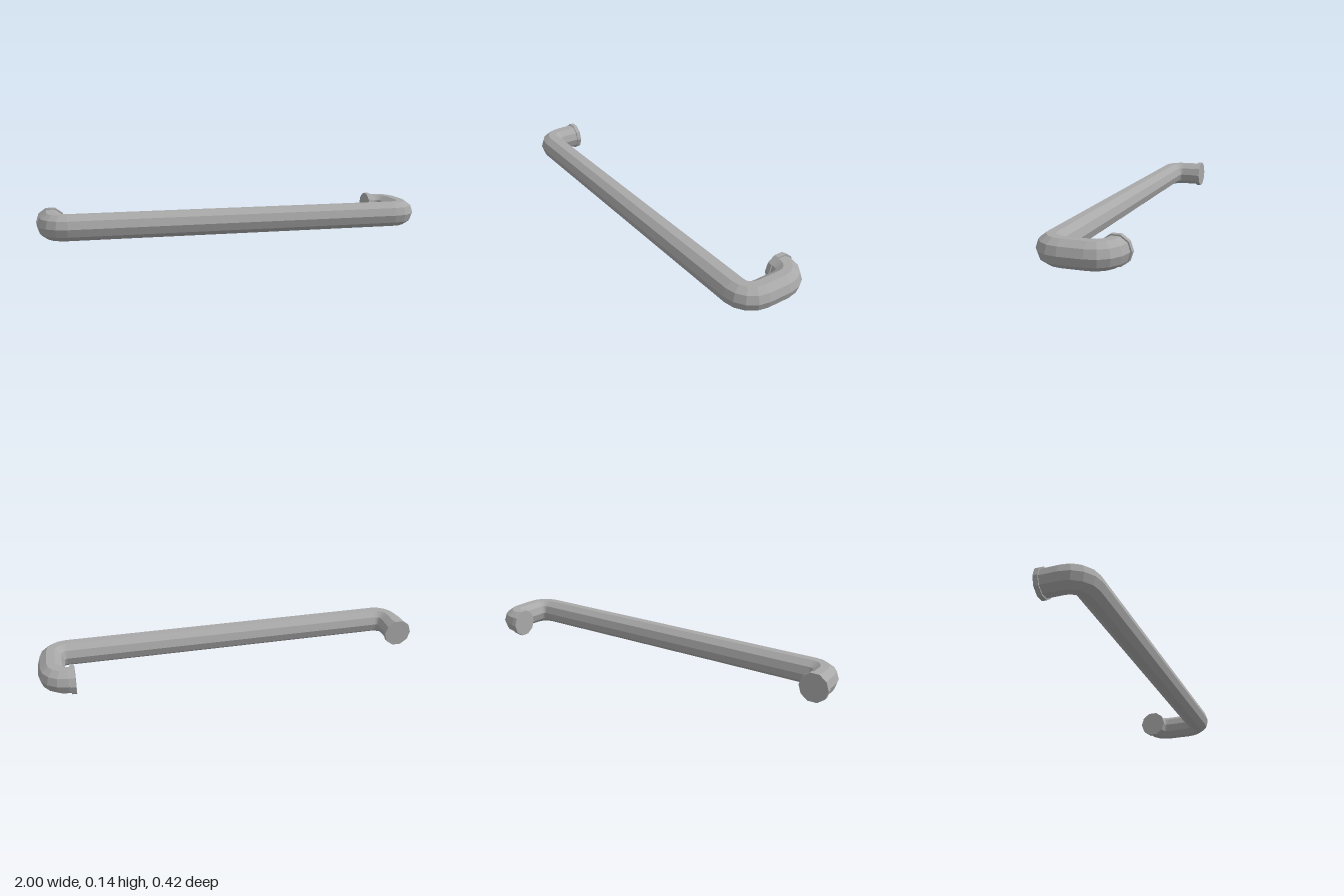
import * as THREE from 'three';

const SIDES = 10, Y = 0.07, TUBE_R = 0.0665, COLLAR_R = 0.0736, BEND_R = 0.08;

// Capped, faceted sweep along stations [x, z, tangentX, tangentZ] lying in a level plane
function sweep(stations, radius) {
  const pos = [], index = [];
  for (const [x, z, tx, tz] of stations) {
    for (let k = 0; k < SIDES; k++) {
      const a = (k / SIDES) * Math.PI * 2;
      const c = Math.cos(a) * radius;
      pos.push(x - tz * c, Y + Math.sin(a) * radius, z + tx * c);
    }
  }
  const last = (stations.length - 1) * SIDES;
  for (let i = 0; i < last; i += SIDES) {
    for (let k = 0; k < SIDES; k++) {
      const n = (k + 1) % SIDES;
      index.push(i + k, i + SIDES + k, i + n, i + n, i + SIDES + k, i + SIDES + n);
    }
  }
  for (let k = 1; k < SIDES - 1; k++) {
    index.push(0, k, k + 1, last, last + k + 1, last + k);
  }
  const geo = new THREE.BufferGeometry();
  geo.setAttribute('position', new THREE.Float32BufferAttribute(pos, 3));
  geo.setIndex(index);
  const flat = geo.toNonIndexed();
  flat.computeVertexNormals();
  return flat;
}

// Quarter bend around (cx, cz), starting at the given angle
function bend(cx, cz, start, steps = 4) {
  return Array.from({ length: steps + 1 }, (_, i) => {
    const a = start - (i / steps) * Math.PI / 2;
    const c = Math.cos(a), s = Math.sin(a);
    return [cx + BEND_R * c, cz + BEND_R * s, s, -c];
  });
}

export function createModel() {
  const group = new THREE.Group();
  group.name = 'bentPipe';
  const metal = new THREE.MeshStandardMaterial({ color: 0xa8a8a8 });
  metal.name = 'grey metal';
  const add = (name, stations, radius) => {
    const mesh = new THREE.Mesh(sweep(stations, radius), metal);
    mesh.name = name;
    group.add(mesh);
  };

  // Pipe: short leg, long front run, then a hook turning back inwards
  add('pipe', [
    [-0.926, -0.044, 0, 1],
    ...bend(-0.846, 0.0635, Math.PI),
    ...bend(0.8535, 0.0635, Math.PI / 2),
    ...bend(0.8535, -0.056, 0),
    [0.821, -0.136, -1, 0],
  ], TUBE_R);

  // Collars closing both ends
  add('rightCollar', [[-0.926, -0.045, 0, 1], [-0.926, -0.022, 0, 1]], COLLAR_R);
  add('leftCollar', [[0.844, -0.136, -1, 0], [0.82, -0.136, -1, 0]], COLLAR_R);

  return group;
}
